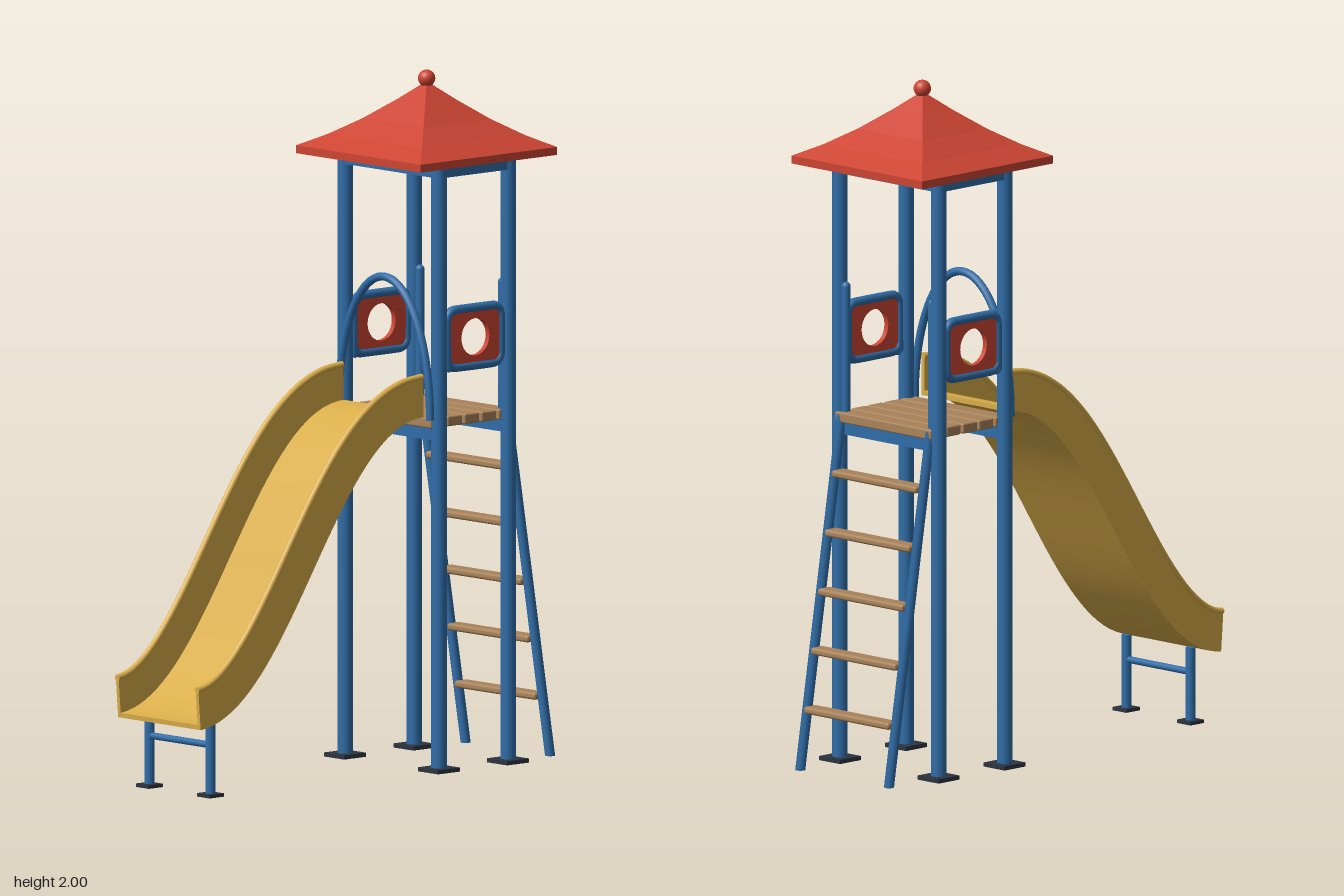
import * as THREE from 'three';
import { toCreasedNormals } from 'three/addons/utils/BufferGeometryUtils.js';
import { RoundedBoxGeometry } from 'three/addons/geometries/RoundedBoxGeometry.js';

const paint = (color) => new THREE.MeshStandardMaterial({ color });
const V = (x, y, z) => new THREE.Vector3(x, y, z);

export function createModel() {
  const model = new THREE.Group();
  const blue = paint(0x2f6da8), red = paint(0xcc4433), yellow = paint(0xd9ad4a);
  const wood = paint(0xa9835a), dark = paint(0x2c3440);

  const add = (name, geometry, material, x = 0, y = 0, z = 0) => {
    const mesh = new THREE.Mesh(geometry, material);
    mesh.name = name;
    mesh.position.set(x, y, z);
    model.add(mesh);
    return mesh;
  };
  const box = (name, w, h, d, material, x, y, z) =>
    add(name, new THREE.BoxGeometry(w, h, d), material, x, y, z);
  const post = (name, r, y0, y1, x, z) =>
    add(name, new THREE.CylinderGeometry(r, r, y1 - y0, 20), blue, x, (y0 + y1) / 2, z);
  const bar = (name, r, length, x, y, z) => {
    const mesh = add(name, new THREE.CylinderGeometry(r, r, length, 16), blue, x, y, z);
    mesh.rotation.z = Math.PI / 2;
    return mesh;
  };

  const midZ = -0.357, halfX = 0.2, halfZ = 0.134;
  const frontZ = midZ + halfZ, backZ = midZ - halfZ;

  // Tower posts, foot plates and the beams that join them
  for (const z of [frontZ, backZ]) {
    for (const x of [-halfX, halfX]) {
      post('towerPost', 0.0225, 0, 1.755, x, z);
      box('footPlate', 0.085, 0.012, 0.085, dark, x, 0.006, z);
    }
    box('roofBeam', halfX * 2, 0.032, 0.03, blue, 0, 1.737, z);
    box('deckBeam', halfX * 2, 0.035, 0.03, blue, 0, 0.977, z);
  }
  for (const x of [-halfX, halfX]) {
    box('roofBeam', 0.03, 0.032, halfZ * 2, blue, x, 1.737, midZ);
  }

  // Deck planks
  for (let i = -2; i <= 2; i++) {
    add('deckPlank', new RoundedBoxGeometry(0.39, 0.03, 0.058, 2, 0.005), wood, 0, 1.01, midZ + i * 0.066);
  }

  // Four-sided roof with a slight flare, and its ball
  const roofProfile = [[0, 1.755], [0.265, 1.755], [0.265, 1.778], [0.2, 1.812], [0.13, 1.858], [0.06, 1.914], [0, 1.967]]
    .map(([r, y]) => new THREE.Vector2(r * Math.SQRT2, y));
  const roof = new THREE.LatheGeometry(roofProfile, 4, Math.PI / 4).toNonIndexed();
  roof.computeVertexNormals();
  add('roof', roof, red, 0, 0, midZ);
  add('roofBall', new THREE.SphereGeometry(0.025, 24, 16), red, 0, 1.975, midZ);

  // Side panels with a round window, each in a tube frame
  const roundedRect = (target, w, h, r) => {
    target.moveTo(-w + r, -h).lineTo(w - r, -h);
    target.absarc(w - r, -h + r, r, -Math.PI / 2, 0);
    target.lineTo(w, h - r).absarc(w - r, h - r, r, 0, Math.PI / 2);
    target.lineTo(-w + r, h).absarc(-w + r, h - r, r, Math.PI / 2, Math.PI);
    target.lineTo(-w, -h + r).absarc(-w + r, -h + r, r, Math.PI, Math.PI * 1.5);
    return target;
  };
  const panelShape = roundedRect(new THREE.Shape(), 0.104, 0.083, 0.03);
  panelShape.holes.push(new THREE.Path().absarc(0, 0, 0.054, 0, Math.PI * 2, true));
  const panelGeometry = new THREE.ExtrudeGeometry(panelShape, { depth: 0.016, bevelEnabled: false, curveSegments: 24 });
  panelGeometry.translate(0, 0, -0.008);
  const framePoints = roundedRect(new THREE.Path(), 0.104, 0.083, 0.03).getPoints(6)
    .map((p) => V(p.x, p.y, 0));
  framePoints.pop();
  const frameCurve = new THREE.CatmullRomCurve3(framePoints, true, 'centripetal');
  const frameGeometry = new THREE.TubeGeometry(frameCurve, 96, 0.0135, 12, true);
  for (const x of [-halfX, halfX]) {
    for (const [name, geometry, material] of [['sidePanel', panelGeometry, red], ['panelFrame', frameGeometry, blue]]) {
      add(name, geometry, material, x, 1.248, midZ).rotation.y = Math.PI / 2;
    }
  }

  // Arch over the slide entrance
  const archPoints = [];
  for (let i = 0; i <= 24; i++) {
    const a = (i / 24) * Math.PI;
    archPoints.push(V(Math.cos(a) * 0.195, 1.02 + Math.sin(a) * 0.396, 0));
  }
  add('entranceArch', new THREE.TubeGeometry(new THREE.CatmullRomCurve3(archPoints), 64, 0.012, 12), blue, 0, 0, -0.193);

  // Ladder: leaning stiles, upright grab rails and wooden rungs
  const ladderZ = (y) => -0.672 + y * 0.165;
  for (const x of [-0.18, 0.18]) {
    const stile = new THREE.CylinderGeometry(0.0145, 0.0145, 1.02, 16);
    const p = stile.attributes.position;
    for (let i = 0; i < p.count; i++) {
      const y = p.getY(i) + 0.51;
      p.setXYZ(i, p.getX(i), y, p.getZ(i) + ladderZ(y));
    }
    add('ladderStile', stile, blue, x, 0, 0);
    post('grabRail', 0.0135, 1.0, 1.39, Math.sign(x) * 0.176, backZ);
    add('grabRailEnd', new THREE.SphereGeometry(0.0135, 16, 10), blue, Math.sign(x) * 0.176, 1.39, backZ);
  }
  for (let i = 0; i < 5; i++) {
    const y = 0.175 + i * 0.169;
    add('ladderRung', new RoundedBoxGeometry(0.345, 0.021, 0.05, 2, 0.008), wood, 0, y, ladderZ(y));
  }

  // Slide: a U-shaped section swept down an S-curve
  const path = new THREE.CubicBezierCurve3(V(0, 1.028, -0.185), V(0, 1.026, 0.15), V(0, 0.232, 0.33), V(0, 0.205, 0.679));
  const section = [[-0.176, 0], [0.176, 0], [0.176, 0.118], [0.164, 0.118], [0.164, 0.014], [-0.164, 0.014], [-0.164, 0.118], [-0.176, 0.118]];
  const steps = 40, n = section.length;
  const place = (t, x, h) => {
    const p = path.getPoint(t), d = path.getTangent(t);
    return V(x, p.y + d.z * h, p.z - d.y * h);
  };
  const positions = [], index = [];
  for (let i = 0; i <= steps; i++) {
    for (const [x, h] of section) positions.push(...place(i / steps, x, h).toArray());
  }
  for (let i = 0; i < steps; i++) {
    for (let j = 0; j < n; j++) {
      const a = i * n + j, b = i * n + (j + 1) % n;
      index.push(a, b, b + n, a, b + n, a + n);
    }
  }
  const caps = THREE.ShapeUtils.triangulateShape(section.map(([x, h]) => new THREE.Vector2(x, h)), []);
  for (const [a, b, c] of caps) {
    index.push(a, c, b, steps * n + a, steps * n + b, steps * n + c);
  }
  const chute = new THREE.BufferGeometry();
  chute.setAttribute('position', new THREE.Float32BufferAttribute(positions, 3));
  chute.setIndex(index);
  add('slideChute', toCreasedNormals(chute, 0.6), yellow);

  // Rounded rims along the slide walls
  for (const x of [-0.17, 0.17]) {
    const rim = [];
    for (let i = 0; i <= 20; i++) rim.push(place(i / 20, x, 0.116));
    const curve = new THREE.CatmullRomCurve3(rim);
    add('slideRim', new THREE.TubeGeometry(curve, 60, 0.01, 10), yellow);
    for (const [t, turn] of [[0, Math.PI], [1, 0]]) {
      const end = add('slideRimEnd', new THREE.CircleGeometry(0.01, 10), yellow);
      end.position.copy(curve.getPoint(t));
      end.rotation.y = turn;
    }
  }

  // Slide legs and their cross bar
  for (const x of [-0.13, 0.13]) {
    post('slideLeg', 0.0145, 0, 0.222, x, 0.6);
    box('footPlate', 0.055, 0.01, 0.055, dark, x, 0.005, 0.6);
  }
  bar('slideCrossBar', 0.01, 0.26, 0, 0.15, 0.6);

  return model;
}
